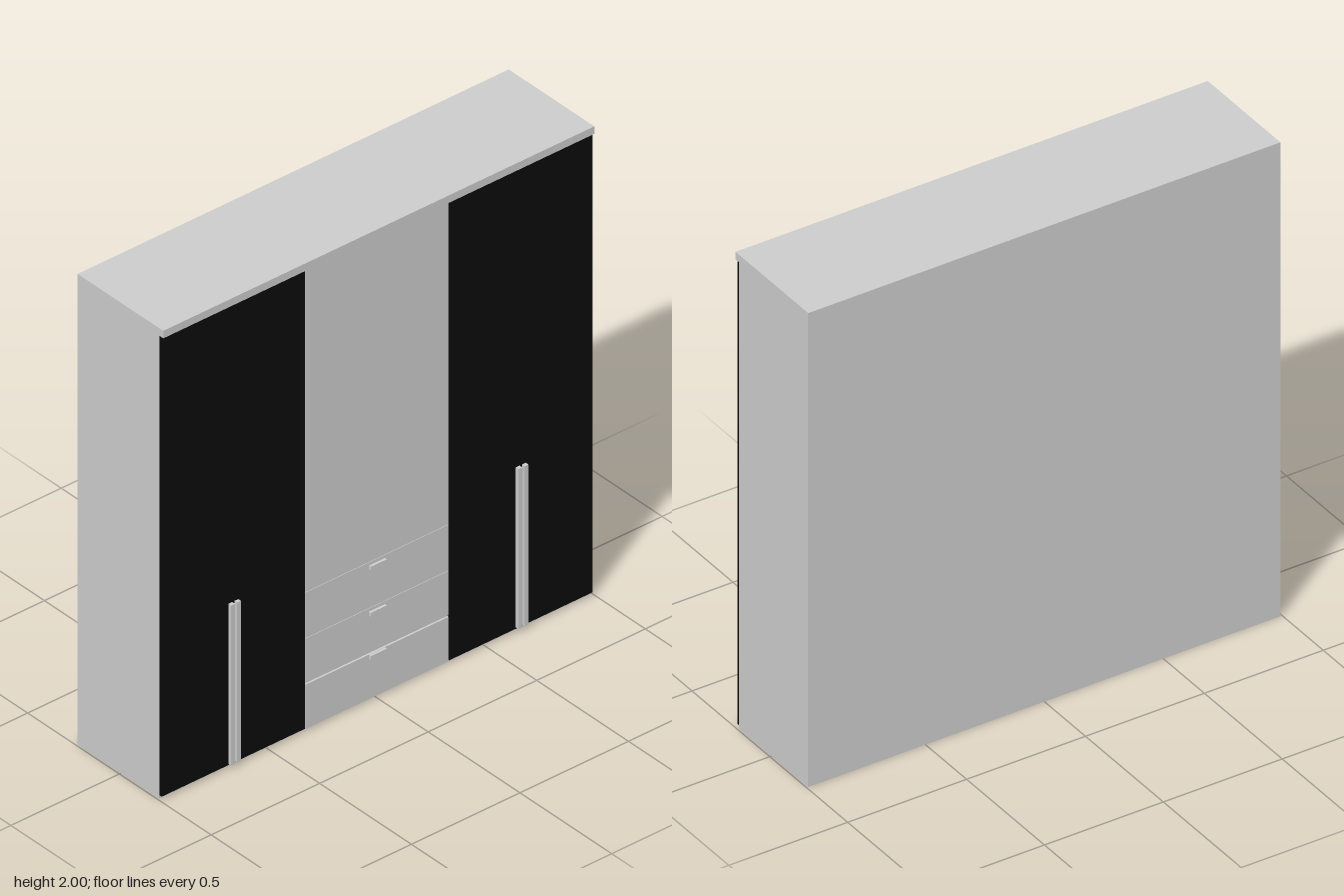
import * as THREE from 'three';

export function createModel() {
  const root = new THREE.Group();
  const grey = new THREE.MeshStandardMaterial({ color: 0xcccccc });
  const black = new THREE.MeshStandardMaterial({ color: 0x0a0a0a });

  // Box given by its limits on each axis
  function box(name, [x0, x1], [y0, y1], [z0, z1], material = grey) {
    const mesh = new THREE.Mesh(new THREE.BoxGeometry(x1 - x0, y1 - y0, z1 - z0), material);
    mesh.position.set((x0 + x1) / 2, (y0 + y1) / 2, (z0 + z1) / 2);
    mesh.name = name;
    root.add(mesh);
  }

  const W = 0.993, back = -0.236, face = 0.208, front = 0.221;
  const bottom = 0.014, doorTop = 1.966, third = W / 3, gap = 0.001;

  // Carcass and top fascia
  box('carcass', [-W, W], [0, 2], [back, face]);
  box('topFascia', [-W, W], [1.968, 2], [face, 0.231]);

  // Two pairs of dark doors with long bar handles beside the meeting edge
  for (const side of [-1, 1]) {
    const middle = side * third * 2;
    for (const leaf of [-1, 1]) {
      const edges = [middle + leaf * gap, middle + leaf * (third / 2 * 2 - gap)].sort((a, b) => a - b);
      box('darkDoor', edges, [bottom, doorTop], [face, front], black);
      const bar = [middle + leaf * 0.005, middle + leaf * 0.023].sort((a, b) => a - b);
      box('doorHandle', bar, [0.02, 0.7], [front, 0.236]);
    }
  }

  // Centre door above three drawers, each with a small pull
  const centre = [-third + gap, third - gap];
  const tops = [0.2, 0.396, 0.592];
  let base = bottom;
  for (const top of tops) {
    box('drawerFront', centre, [base, top], [face, front]);
    box('drawerPull', [-0.037, 0.037], [top - 0.018, top - 0.001].map((y) => y - 0.012 + (top === 0.2 ? 0.012 : 0)), [front, 0.232]);
    base = top + (top === 0.2 ? 0.007 : 0.002);
  }
  box('centreDoor', centre, [base, doorTop], [face, front]);

  return root;
}
